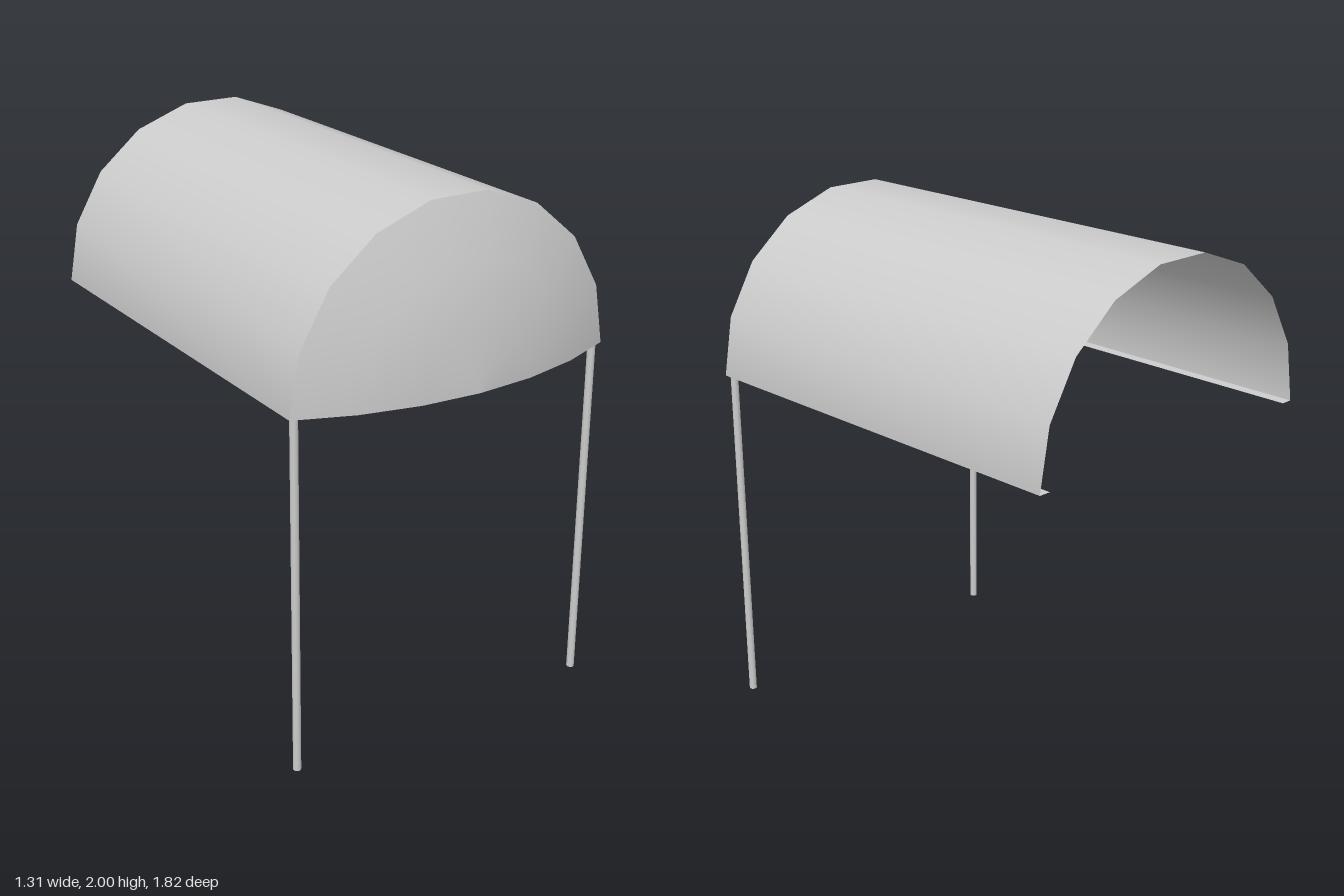
import * as THREE from 'three';

const R = 0.655, BASE = 1.355;          // vault radius and springing height
const BACK = -0.91, FRONT = 0.763;      // ends of the vault
const BULGE = 0.147, RINGS = 3;         // depth of the domed front
const LIP = 0.045, LEG_TOP = 1.39;

const DOME_R = (R * R + BULGE * BULGE) / (2 * BULGE);
const DOME_ANGLE = Math.asin(R / DOME_R);

// radius and depth of a point on the dome's arc, t from -1 to 1, 0 at its centre
function domePoint(t, inset = 0) {
  const a = t * DOME_ANGLE;
  return new THREE.Vector2(
    (DOME_R - inset) * Math.sin(a),
    FRONT + BULGE - DOME_R + (DOME_R - inset) * Math.cos(a));
}

export function createModel() {
  const group = new THREE.Group();
  const sheet = new THREE.MeshStandardMaterial({ color: 0xcccccc, side: THREE.DoubleSide });
  const solid = new THREE.MeshStandardMaterial({ color: 0xcccccc });

  const add = (name, geometry, material) => {
    const mesh = new THREE.Mesh(geometry, material);
    mesh.name = name;
    group.add(mesh);
    return mesh;
  };

  // half-round roof
  const vault = new THREE.CylinderGeometry(R, R, FRONT - BACK, 9, 1, true, -Math.PI / 2, Math.PI);
  vault.rotateX(-Math.PI / 2).translate(0, BASE, (FRONT + BACK) / 2);
  add('roofVault', vault, sheet);

  // shallow domed front, half of a spherical cap
  const profile = [];
  for (let i = RINGS; i >= 0; i--) profile.push(domePoint(i / RINGS));
  const dome = new THREE.LatheGeometry(profile, 9, Math.PI / 2, Math.PI);
  dome.rotateX(Math.PI / 2).translate(0, BASE, 0);
  add('domedFront', dome, sheet);

  // flat lip turned inward along the sides and the front
  const outer = [], inner = [];
  for (let i = -RINGS; i <= RINGS; i++) {
    outer.push(domePoint(i / RINGS));
    const p = domePoint(i / RINGS, LIP);
    p.x = THREE.MathUtils.clamp(p.x, LIP - R, R - LIP);
    inner.push(p);
  }
  const lip = new THREE.ShapeGeometry(new THREE.Shape([
    new THREE.Vector2(-R, BACK), ...outer, new THREE.Vector2(R, BACK),
    new THREE.Vector2(R - LIP, BACK), ...inner.reverse(), new THREE.Vector2(LIP - R, BACK),
  ]));
  lip.rotateX(Math.PI / 2).translate(0, BASE, 0);
  add('bottomLip', lip, sheet);

  // two slender front posts
  for (const side of [-1, 1]) {
    const post = add(side > 0 ? 'leftPost' : 'rightPost',
      new THREE.CylinderGeometry(0.015, 0.015, LEG_TOP, 10), solid);
    post.position.set(side * 0.628, LEG_TOP / 2, 0.745);
  }

  return group;
}
